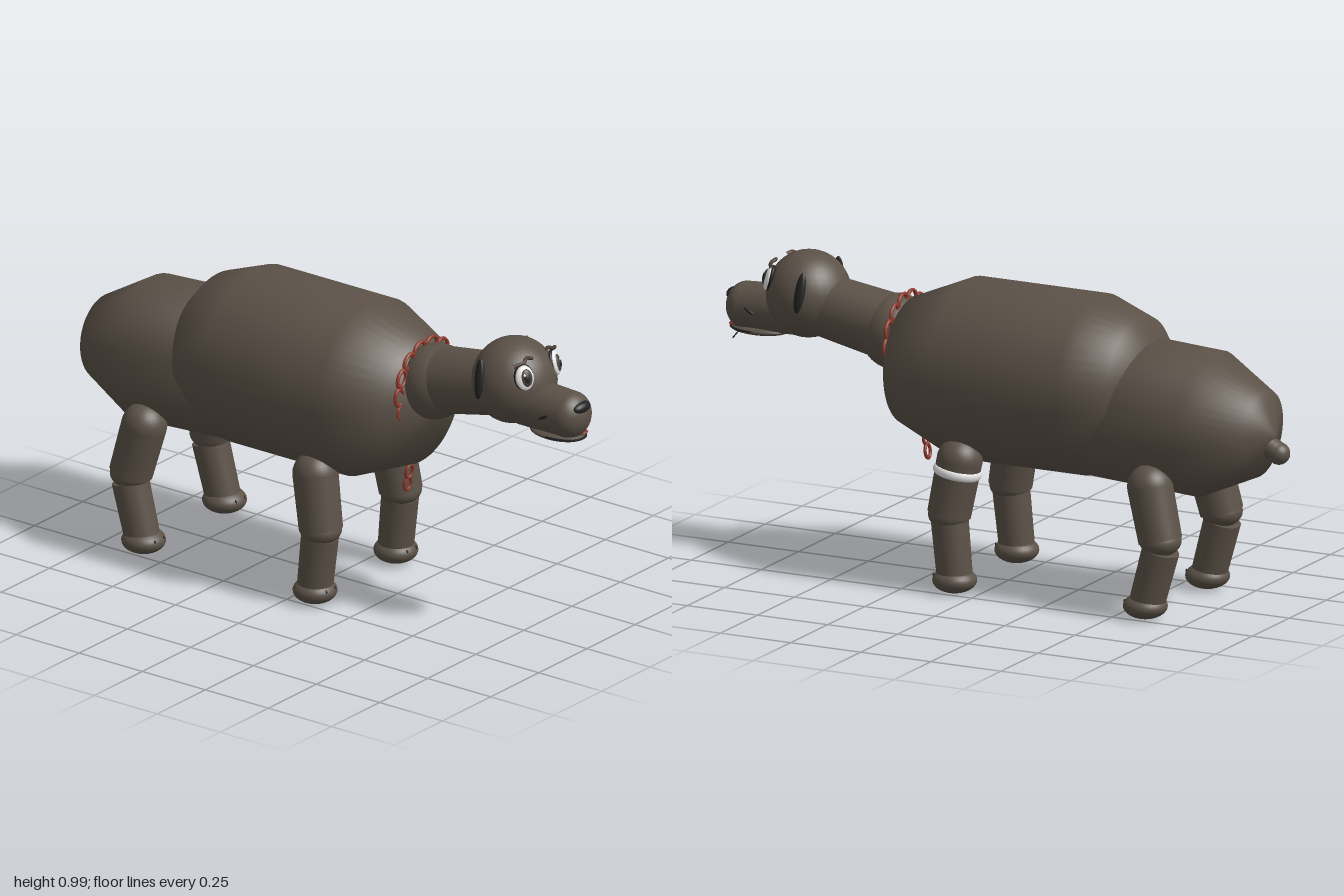
import * as THREE from 'three';

export function createModel() {
  const root = new THREE.Group();
  const mat = (name, color, side = THREE.FrontSide) => {
    const m = new THREE.MeshStandardMaterial({ color, side });
    m.name = name;
    return m;
  };
  const fur = mat('brown fur', 0x5b5147);
  const black = mat('black', 0x222222);
  const white = mat('white', 0xf2f2f2);
  const iris = mat('grey iris', 0x45413d);
  const brow = mat('brow brown', 0x49372d);
  const red = mat('red chain', 0x8e3a2b);
  const V = (x, y, z) => new THREE.Vector3(x, y, z);
  const UP = V(0, 1, 0), FRONT = V(0, 0, 1);

  const add = (name, geo, material, p = V(0, 0, 0), parent = root) => {
    const m = new THREE.Mesh(geo, material);
    m.name = name;
    m.position.copy(p);
    parent.add(m);
    return m;
  };
  const ball = (name, material, p, rx, ry, rz, parent) => {
    const m = add(name, new THREE.SphereGeometry(1, 32, 20), material, p, parent);
    m.scale.set(rx, ry, rz);
    return m;
  };
  // tapered cylinder from a to b
  const limb = (name, material, a, b, ra, rb, parent) => {
    const d = b.clone().sub(a);
    const m = add(name, new THREE.CylinderGeometry(rb, ra, d.length(), 32), material, a.clone().lerp(b, 0.5), parent);
    m.quaternion.setFromUnitVectors(UP, d.normalize());
    return m;
  };
  // turned body section, profile given as [radius, z]
  const turned = (name, pts, y, tilt) => {
    const geo = new THREE.LatheGeometry(pts.map(p => new THREE.Vector2(...p)), 48);
    add(name, geo, fur, V(0, y, 0)).rotation.x = Math.PI / 2 - tilt;
  };

  // Body
  turned('chestBarrel', [[0, -0.56], [0.16, -0.53], [0.235, -0.465], [0.29, -0.315], [0.29, 0.14], [0.205, 0.34], [0, 0.425]], 0.68, 0);
  turned('hindquarters', [[0, -0.955], [0.14, -0.905], [0.235, -0.72], [0.235, -0.25], [0, -0.2]], 0.645, 0.06);
  limb('tail', fur, V(0, 0.57, -0.9), V(0, 0.535, -0.963), 0.035, 0.035);
  ball('tailTip', fur, V(0, 0.535, -0.963), 0.036, 0.036, 0.036);

  // Neck and head
  ball('neckBase', fur, V(0, 0.765, 0.4), 0.12, 0.122, 0.115);
  limb('neck', fur, V(0, 0.765, 0.36), V(0, 0.82, 0.66), 0.11, 0.1);
  ball('head', fur, V(0, 0.85, 0.713), 0.14, 0.14, 0.135);

  // Snout, nose and mouth
  limb('snout', fur, V(0, 0.79, 0.76), V(0, 0.785, 0.935), 0.08, 0.076);
  ball('snoutTip', fur, V(0, 0.785, 0.935), 0.076, 0.076, 0.062);
  ball('lowerJaw', fur, V(0, 0.714, 0.885), 0.064, 0.017, 0.1);
  ball('nose', black, V(0, 0.82, 0.978), 0.04, 0.019, 0.02);
  ball('tongue', red, V(0.022, 0.727, 0.962), 0.02, 0.006, 0.022);
  const lip = add('mouthLine', new THREE.TorusGeometry(0.064, 0.003, 6, 24, Math.PI), black, V(0, 0.716, 0.885));
  lip.rotation.x = Math.PI / 2;
  lip.scale.y = 1.56;
  limb('mouthStraw', black, V(0.063, 0.715, 0.93), V(0.064, 0.69, 0.95), 0.002, 0.002);

  // Face details, mirrored
  for (const s of [-1, 1]) {
    const side = s > 0 ? 'left' : 'right';
    const eye = new THREE.Group();
    eye.name = side + 'Eye';
    eye.position.set(s * 0.08, 0.905, 0.814);
    eye.quaternion.setFromUnitVectors(FRONT, V(s * 0.45, 0.25, 0.85).normalize());
    root.add(eye);
    ball('eyeRim', black, V(0, 0.002, -0.006), 0.034, 0.043, 0.012, eye);
    ball('eyeWhite', white, V(0, 0, 0), 0.031, 0.04, 0.014, eye);
    ball('iris', iris, V(-s * 0.003, 0, 0.008), 0.02, 0.029, 0.01, eye);
    ball('pupil', black, V(-s * 0.003, 0, 0.015), 0.011, 0.017, 0.005, eye);
    ball('glint', white, V(-0.006, 0.011, 0.0185), 0.004, 0.005, 0.002, eye);

    // Raised brow arch
    const path = new THREE.CatmullRomCurve3([
      V(s * 0.108, 0.944, 0.79), V(s * 0.075, 0.955, 0.808), V(s * 0.055, 0.962, 0.802), V(s * 0.036, 0.957, 0.812)]);
    add(side + 'Brow', new THREE.TubeGeometry(path, 12, 0.006, 8), brow);

    const ear = ball(side + 'Ear', black, V(s * 0.133, 0.885, 0.675), 0.012, 0.065, 0.017);
    ear.rotation.set(-0.08, 0, s * 0.22);
    ball(side + 'CheekMark', black, V(s * 0.078, 0.787, 0.885), 0.004, 0.005, 0.02).rotation.x = -0.5;
  }

  // Legs: hip, knee, shin top, ankle as [y, z]
  const legs = {
    front: [[0.432, 0.072], [0.255, 0.103], [0.23, 0.1], [0.04, 0.08]],
    hind: [[0.428, -0.607], [0.26, -0.65], [0.23, -0.652], [0.04, -0.6]],
  };
  for (const [part, pts] of Object.entries(legs)) {
    for (const s of [-1, 1]) {
      const leg = new THREE.Group();
      leg.name = part + (s > 0 ? 'Left' : 'Right') + 'Leg';
      root.add(leg);
      const [hip, knee, shin, ankle] = pts.map(([y, z], i) => V(s * [0.195, 0.207, 0.208, 0.21][i], y, z));
      ball('hip', fur, hip, 0.073, 0.073, 0.073, leg);
      limb('upperLeg', fur, hip, knee, 0.073, 0.07, leg);
      ball('knee', fur, knee, 0.07, 0.05, 0.066, leg);
      limb('lowerLeg', fur, shin, ankle, 0.06, 0.057, leg);
      ball('foot', fur, V(ankle.x, 0.043, ankle.z + 0.002), 0.071, 0.041, 0.071, leg);
      for (const t of [-1, 1])
        ball('toeMark', black, V(ankle.x + t * 0.023, 0.056, ankle.z + 0.064), 0.003, 0.006, 0.004, leg);

      // White band on one foreleg
      if (part === 'front' && s > 0) {
        const axis = hip.clone().sub(knee).normalize();
        const band = add('legBand', new THREE.TorusGeometry(0.07, 0.008, 10, 40), white, hip.clone().lerp(knee, 0.21), leg);
        band.quaternion.setFromUnitVectors(FRONT, axis);
        band.scale.z = 1.8;
      }
    }
  }

  // Chain collar with hanging links
  const linkGeo = new THREE.TorusGeometry(0.02, 0.006, 8, 20);
  const chain = new THREE.Group();
  chain.name = 'chainCollar';
  root.add(chain);
  for (let i = 0; i < 14; i++) {
    const a = i / 14 * Math.PI * 2 + Math.PI / 14 - 0.22;
    const link = add('chainLink', linkGeo, red, V(Math.cos(a) * 0.14, 0.745 + Math.sin(a) * 0.135, 0.362), chain);
    link.rotation.z = a;
    link.scale.y = 1.35;
  }
  for (const [y, z] of [[0.43, 0.295], [0.388, 0.289]]) {
    const link = add('hangingLink', linkGeo, red, V(0, y, z), chain);
    link.scale.set(0.85, 1.1, 0.9);
    link.rotation.x = 0.12;
  }
  return root;
}
